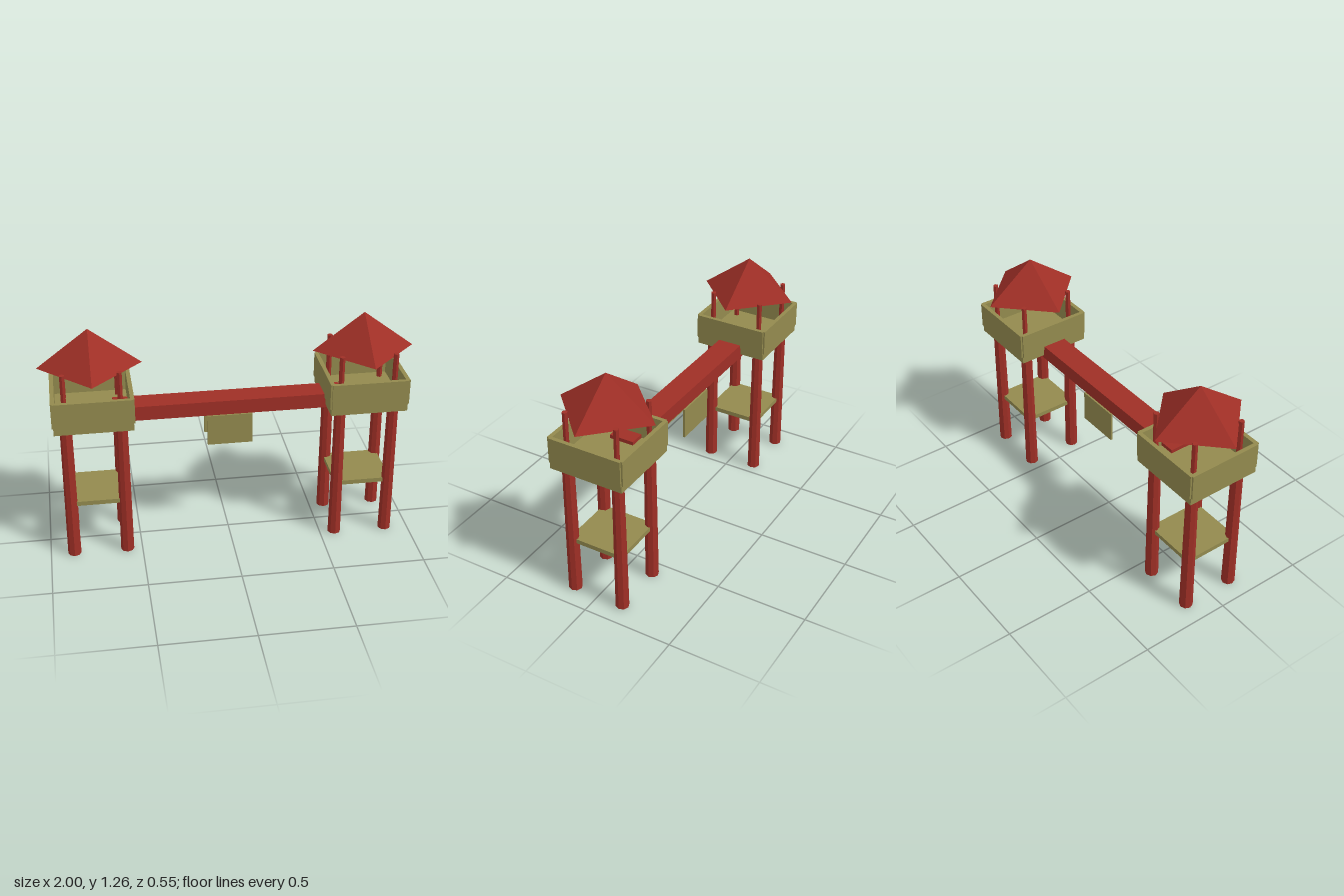
import * as THREE from 'three';

export function createModel() {
  const model = new THREE.Group();
  model.name = 'twinTowerPlayground';
  const red = new THREE.MeshStandardMaterial({ color: 0x9f2f26, flatShading: true });
  red.name = 'red paint';
  const olive = new THREE.MeshStandardMaterial({ color: 0x938a4e, flatShading: true });
  olive.name = 'olive wood';

  const add = (parent, name, geometry, material, x, y, z) => {
    const mesh = new THREE.Mesh(geometry, material);
    mesh.name = name;
    mesh.position.set(x, y, z);
    parent.add(mesh);
    return mesh;
  };
  // Box given by its bottom and top heights
  const box = (parent, name, material, w, y0, y1, d, x = 0, z = 0) =>
    add(parent, name, new THREE.BoxGeometry(w, y1 - y0, d), material, x, (y0 + y1) / 2, z);

  const legGeometry = new THREE.CylinderGeometry(0.031, 0.036, 0.77, 8);
  const postGeometry = new THREE.CylinderGeometry(0.015, 0.015, 0.27, 6);
  const roofGeometry = new THREE.ConeGeometry(0.273, 0.205, 4);

  const buildTower = (name, x) => {
    const tower = new THREE.Group();
    tower.name = name;
    tower.position.x = x;

    // Legs and roof posts, one pair per corner
    for (const sx of [-1, 1]) {
      for (const sz of [-1, 1]) {
        add(tower, 'leg', legGeometry, red, sx * 0.145, 0.385, sz * 0.145);
        add(tower, 'roofPost', postGeometry, red, sx * 0.145, 0.945, sz * 0.145);
      }
    }

    // Lower shelf and upper deck
    box(tower, 'lowerPlatform', olive, 0.31, 0.305, 0.33, 0.31);
    box(tower, 'deck', olive, 0.414, 0.77, 0.81, 0.414);

    // Railing walls, leaving small notches at the corners
    for (const s of [-1, 1]) {
      box(tower, 'sideRailing', olive, 0.022, 0.81, 0.95, 0.41, s * 0.203, 0);
      box(tower, 'endRailing', olive, 0.41, 0.81, 0.95, 0.022, 0, s * 0.203);
    }

    // Pyramid roof with corners on the axes
    add(tower, 'roof', roofGeometry, red, 0, 1.1625, 0);
    model.add(tower);
  };
  buildTower('leftTower', 0.727);
  buildTower('rightTower', -0.727);

  // Bridge beam between the towers
  box(model, 'bridgeBeam', red, 1.23, 0.75, 0.83, 0.134);

  // Panels hanging under the beam
  for (const s of [-1, 1]) {
    box(model, 'hangingPanel', olive, 0.242, 0.577, 0.75, 0.011, 0, s * 0.071);
  }
  return model;
}
